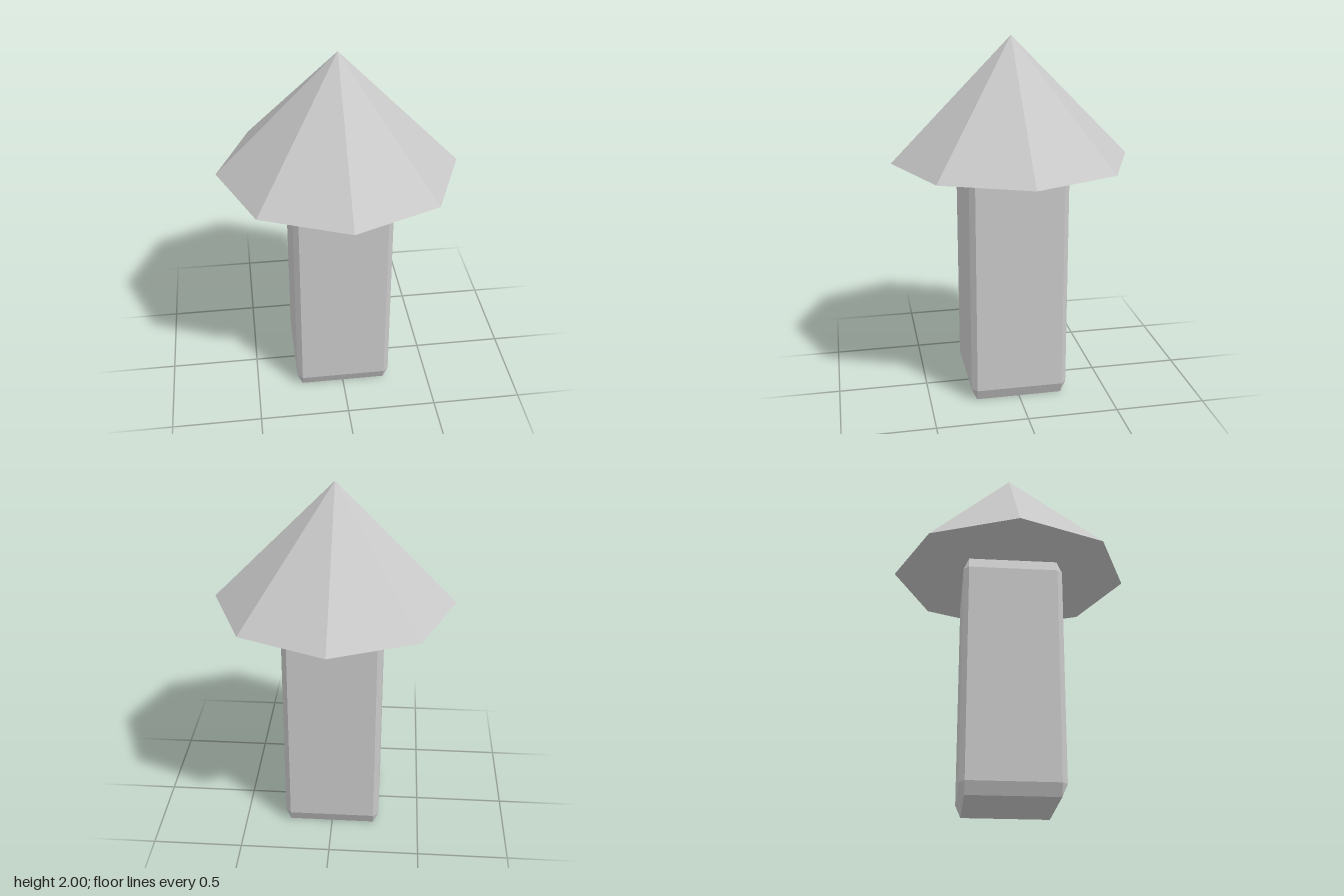
import * as THREE from 'three';
import { ConvexGeometry } from 'three/addons/geometries/ConvexGeometry.js';

export function createModel() {
  const model = new THREE.Group();
  model.name = 'mushroomPost';

  const grey = new THREE.MeshStandardMaterial({ color: 0xc8c8c8, flatShading: true });
  grey.name = 'light grey';

  // Square post with chamfered edges and corners
  const outer = 0.27, inner = 0.241;
  const bottom = 0.003, top = 1.32, bevel = 0.066;
  const points = [];
  for (const sx of [-1, 1]) {
    for (const sz of [-1, 1]) {
      for (const [end, shoulder] of [[bottom, bottom + bevel], [top, top - bevel]]) {
        points.push(
          new THREE.Vector3(sx * inner, end, sz * inner),
          new THREE.Vector3(sx * outer, shoulder, sz * inner),
          new THREE.Vector3(sx * inner, shoulder, sz * outer)
        );
      }
    }
  }
  const post = new THREE.Mesh(new ConvexGeometry(points), grey);
  post.name = 'post';
  model.add(post);

  // Eight-sided cone cap, floating just above the post
  const capBase = 1.335, capTop = 2;
  const cap = new THREE.Mesh(new THREE.ConeGeometry(0.654, capTop - capBase, 8), grey);
  cap.name = 'cap';
  cap.position.y = (capBase + capTop) / 2;
  model.add(cap);

  return model;
}
